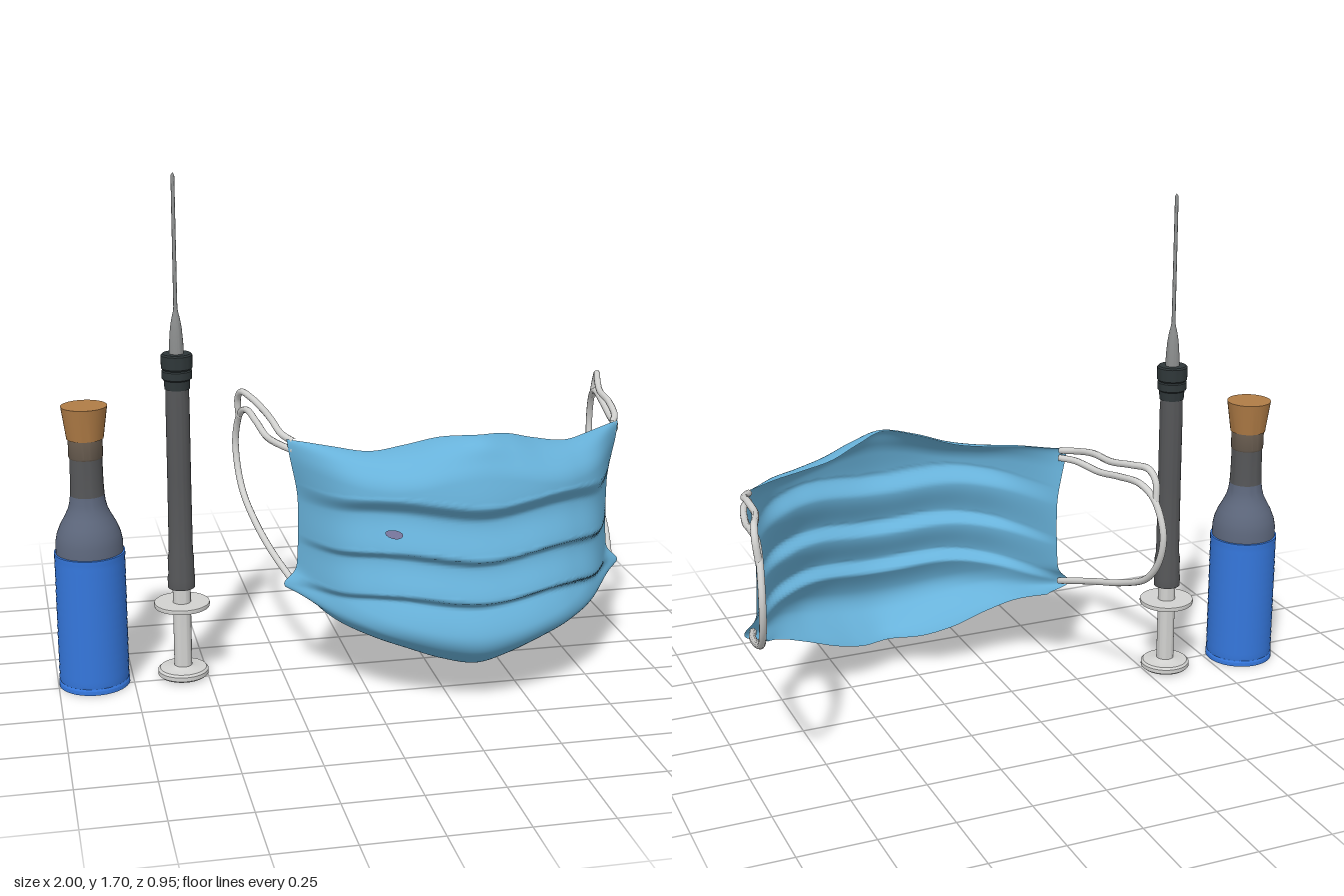
import * as THREE from 'three';
import { toCreasedNormals } from 'three/addons/utils/BufferGeometryUtils.js';

const { smoothstep, clamp } = THREE.MathUtils;

function material(name, color, side = THREE.FrontSide) {
  const m = new THREE.MeshStandardMaterial({ color, side });
  m.name = name;
  return m;
}

function addMesh(parent, name, geometry, mat) {
  const mesh = new THREE.Mesh(geometry, mat);
  mesh.name = name;
  parent.add(mesh);
  return mesh;
}

// Turned part from [radius, height] pairs, bottom to top
function turned(profile, segments = 40) {
  const points = profile.map(([r, y]) => new THREE.Vector2(r, y));
  return toCreasedNormals(new THREE.LatheGeometry(points, segments), 0.6);
}

// Smooth value from evenly spaced samples over 0..1, mirrored at 0
function sample(table, t) {
  const n = table.length - 1;
  const at = (i) => (i > n ? 2 * table[n] - table[n - 1] : table[Math.abs(i)]);
  const i = Math.min(Math.floor(t * n), n - 1);
  const f = t * n - i;
  const [a, b, c, d] = [at(i - 1), at(i), at(i + 1), at(i + 2)];
  return b + 0.5 * f * (c - a + f * (2 * a - 5 * b + 4 * c - d + f * (3 * (b - c) + d - a)));
}

// Mask outline, from the middle (0) to the side edge (1)
const MASK_X = 0.33;
const topY = [0.89, 0.875, 0.843, 0.825, 0.83, 0.835];
const topZ = [0.335, 0.28, 0.24, 0.225, 0.16, 0.07];
const bottomY = [0.12, 0.132, 0.165, 0.205, 0.25, 0.3];
const bottomZ = [0.33, 0.285, 0.25, 0.24, 0.2, 0.09];
const frontZ = [0.45, 0.438, 0.41, 0.36, 0.27, 0.08];
const folds = [0.35, 0.49, 0.64, 0.89];

// Pleat depth 0..1: quick step out above each fold, then a slow slope back
function pleat(y) {
  if (y < folds[0]) return Math.sin(Math.PI * clamp((folds[0] - y) / 0.23, 0, 1));
  let i = 0;
  while (i < 2 && y >= folds[i + 1]) i++;
  const s = clamp((y - folds[i]) / (folds[i + 1] - folds[i]), 0, 1);
  return s < 0.25 ? smoothstep(s, 0, 0.25) : 1 - smoothstep(s, 0.1, 1.05);
}

// Point on the mask, u across (-1..1) and v upward (0..1)
function maskPoint(u, v) {
  const a = Math.abs(u);
  const y = sample(bottomY, a) * (1 - v) + sample(topY, a) * v;
  const front = sample(frontZ, a);
  let z = front;
  if (v > 0.85) {
    const t = (v - 0.85) / 0.15;
    z = THREE.MathUtils.lerp(sample(topZ, a), front, Math.sqrt(Math.max(0, 1 - t * t)));
  } else if (v < 0.18) {
    const t = 1 - v / 0.18;
    z = THREE.MathUtils.lerp(sample(bottomZ, a), front, Math.sqrt(Math.max(0, 1 - t * t)));
  }
  const fade = (1 - a ** 8) * smoothstep(v, 0, 0.1) * (1 - smoothstep(v, 0.9, 1));
  z += 0.045 * (pleat(y + 0.012 * Math.cos(Math.PI * 2 * a)) - 0.5) * fade;
  // Side edge: pinched middle and a small flap near the lower corner
  const flap = 0.022 * smoothstep(v, 0.6, 1) - 0.012 * Math.sin(Math.PI * v)
    + 0.04 * Math.exp(-(((v - 0.08) / 0.06) ** 2)) - 0.05 * (1 - smoothstep(v, 0, 0.06));
  const x = MASK_X + Math.sign(u) * (a * 0.545 + flap * a ** 10);
  return new THREE.Vector3(x, y, z);
}

function bend(geometry, rule) {
  const p = geometry.attributes.position;
  for (let i = 0; i < p.count; i++) {
    const q = rule(p.getX(i), p.getY(i));
    p.setXYZ(i, q.x, q.y, q.z);
  }
  geometry.computeVertexNormals();
  return geometry;
}

// Strap from [sideways offset, y, z] points
function strap(points, side) {
  const curve = new THREE.CatmullRomCurve3(
    points.map(([d, y, z]) => new THREE.Vector3(MASK_X + side * d, y, z)));
  return new THREE.TubeGeometry(curve, 70, 0.0115, 10);
}

export function createModel() {
  const model = new THREE.Group();
  model.name = 'medicalSet';

  const cloth = material('maskBlue', 0x68b2da, THREE.DoubleSide);
  const stain = material('mutedPurple', 0x77769c, THREE.DoubleSide);
  const white = material('lightGrey', 0xd2d2d0);
  const blue = material('labelBlue', 0x3577dc);
  const glass = material('blueGreyGlass', 0x5d677c);
  const smoke = material('smokeGrey', 0x555658);
  const brownGlass = material('brownGlass', 0x6d6053);
  const corkTan = material('corkTan', 0xb07c46);
  const dark = material('darkGrey', 0x2f3739);
  const steel = material('steelGrey', 0x8c8e8e);

  // Bottle
  const bottle = new THREE.Group();
  bottle.name = 'bottle';
  bottle.position.set(-0.88, 0, -0.032);
  model.add(bottle);
  const label = [[0, 0], [0.118, 0], [0.118, 0.014], [0.114, 0.02]];
  for (let i = 0; i < 14; i++) {
    const y = 0.03 + i * 0.03;
    label.push([0.1165, y], [0.1145, y + 0.015]);
  }
  label.push([0.1165, 0.452], [0.1165, 0.465], [0.108, 0.467]);
  addMesh(bottle, 'bottleLabel', turned(label), blue);
  addMesh(bottle, 'bottleShoulder', turned([
    [0.111, 0.465], [0.11, 0.5], [0.104, 0.53], [0.092, 0.56], [0.077, 0.587],
    [0.065, 0.612], [0.059, 0.635], [0.056, 0.66],
  ]), glass);
  addMesh(bottle, 'bottleNeck', turned([[0.056, 0.66], [0.054, 0.7], [0.053, 0.785]]), smoke);
  addMesh(bottle, 'bottleMouth', turned([
    [0.053, 0.785], [0.056, 0.79], [0.056, 0.855], [0, 0.855],
  ]), brownGlass);
  addMesh(bottle, 'cork', turned([[0, 0.85], [0.06, 0.85], [0.075, 0.958], [0, 0.958]]), corkTan);

  // Syringe, standing on its plunger
  const syringe = new THREE.Group();
  syringe.name = 'syringe';
  syringe.position.set(-0.582, 0, -0.028);
  syringe.rotation.z = -0.004;
  model.add(syringe);
  addMesh(syringe, 'plunger', turned([
    [0, 0.004], [0.078, 0.004], [0.085, 0.01], [0.085, 0.024], [0.078, 0.031],
    [0.04, 0.034], [0.03, 0.04], [0.03, 0.325], [0, 0.325],
  ]), white);
  addMesh(syringe, 'fingerFlange', turned([
    [0, 0.251], [0.092, 0.251], [0.094, 0.258], [0.092, 0.265], [0, 0.265],
  ]), white);
  addMesh(syringe, 'barrel', turned([
    [0, 0.318], [0.045, 0.318], [0.046, 0.35], [0.043, 0.365], [0.044, 0.42],
    [0.04, 0.44], [0.039, 0.7], [0.039, 0.96], [0.037, 1.01],
  ]), smoke);
  addMesh(syringe, 'collar', turned([
    [0, 1.0], [0.041, 1.0], [0.043, 1.03], [0.049, 1.035], [0.049, 1.06], [0.046, 1.064],
    [0.051, 1.07], [0.051, 1.112], [0.046, 1.117], [0, 1.117],
  ]), dark);
  addMesh(syringe, 'needle', turned([
    [0.024, 1.115], [0.023, 1.15], [0.019, 1.2], [0.014, 1.23], [0.008, 1.255],
    [0.0065, 1.27], [0.006, 1.69], [0, 1.7],
  ], 20), steel);

  // Pleated mask, rows packed closer at the rolled edges
  const mask = new THREE.Group();
  mask.name = 'faceMask';
  model.add(mask);
  addMesh(mask, 'maskCloth', bend(new THREE.PlaneGeometry(2, 1, 72, 120),
    (u, y) => maskPoint(u, 0.5 + 0.5 * Math.sin(Math.PI * y))), cloth);
  addMesh(mask, 'smudge', bend(new THREE.CircleGeometry(1, 16), (x, y) => {
    const q = maskPoint(-0.515 + 0.048 * x, 0.632 + 0.02 * y);
    q.z += 0.006;
    return q;
  }), stain);

  // Ear loops: a long loop and a shorter strand along its top
  for (const side of [-1, 1]) {
    const name = side > 0 ? 'left' : 'right';
    addMesh(mask, name + 'EarLoop', strap([
      [0.545, 0.8, 0.085], [0.575, 0.803, 0.03], [0.605, 0.8, -0.1], [0.62, 0.82, -0.22],
      [0.635, 0.832, -0.34], [0.648, 0.8, -0.415], [0.658, 0.7, -0.462], [0.655, 0.6, -0.445],
      [0.645, 0.52, -0.385], [0.625, 0.455, -0.25], [0.595, 0.4, -0.08], [0.55, 0.345, 0.09],
    ], side), white);
    addMesh(mask, name + 'EarStrand', strap([
      [0.545, 0.828, 0.08], [0.575, 0.84, 0.02], [0.59, 0.861, -0.08], [0.6, 0.868, -0.2],
      [0.625, 0.885, -0.3], [0.648, 0.89, -0.37], [0.656, 0.86, -0.405], [0.651, 0.79, -0.42],
    ], side), white);
  }

  return model;
}
